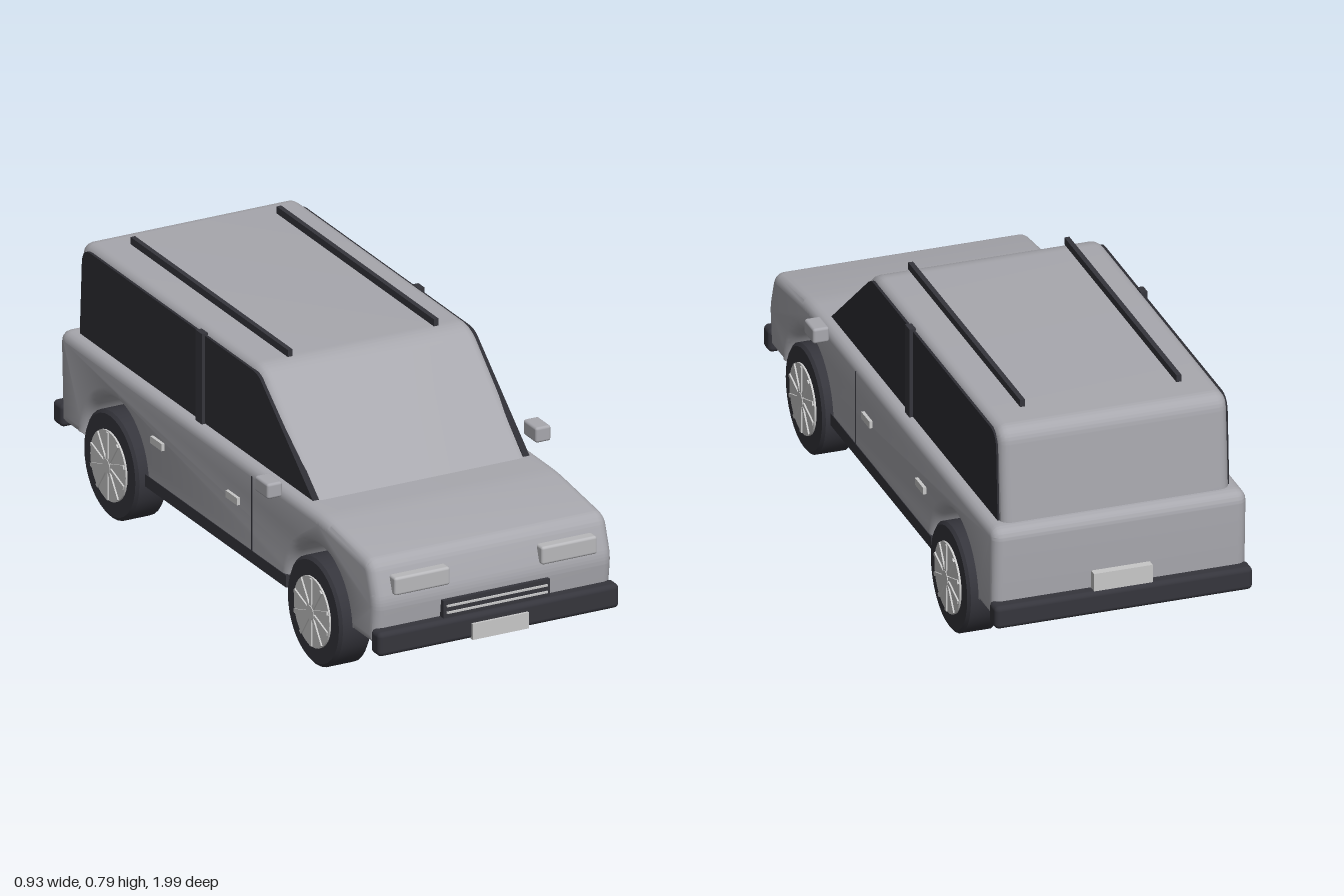
import * as THREE from 'three';
import { toCreasedNormals } from 'three/addons/utils/BufferGeometryUtils.js';
import { RoundedBoxGeometry } from 'three/addons/geometries/RoundedBoxGeometry.js';

const mat = (name, color) => {
  const m = new THREE.MeshStandardMaterial({ color });
  m.name = name;
  return m;
};

export function createModel() {
  const car = new THREE.Group();
  car.name = 'car';
  const paint = mat('grey paint', 0xa8a8ae);
  const trim = mat('dark trim', 0x35353c);
  const glass = mat('dark glass', 0x2e2e34);
  const light = mat('light metal', 0xc8c8c8);
  const lamp = mat('lamp', 0xb8b8bb);

  const add = (name, geo, material, x = 0, y = 0, z = 0, parent = car) => {
    const mesh = new THREE.Mesh(geo, material);
    mesh.name = name;
    mesh.position.set(x, y, z);
    parent.add(mesh);
    return mesh;
  };
  // box given by its low and high corners, with an optional edge radius
  const box = (name, material, [x0, x1], [y0, y1], [z0, z1], r = 0) => {
    const s = [x1 - x0, y1 - y0, z1 - z0];
    const geo = r ? new RoundedBoxGeometry(...s, 3, r) : new THREE.BoxGeometry(...s);
    return add(name, geo, material, (x0 + x1) / 2, (y0 + y1) / 2, (z0 + z1) / 2);
  };
  // side profile (z, y) extruded across the car, centred on x = 0
  const across = (shape, width, bevel) => {
    const geo = new THREE.ExtrudeGeometry(shape, {
      depth: width - 2 * bevel, bevelEnabled: bevel > 0, bevelThickness: bevel,
      bevelSize: bevel, bevelOffset: -bevel, bevelSegments: 4, curveSegments: 24,
    });
    geo.translate(0, 0, -(width - 2 * bevel) / 2);
    geo.rotateY(-Math.PI / 2);
    return toCreasedNormals(geo, 0.55);
  };
  // adds corners [z, y, radius] to a path, rounding each by a curve
  const corners = (shape, pts, from, to) => {
    pts.forEach(([z, y, r], i) => {
      const c = new THREE.Vector2(z, y);
      if (!r) return shape.lineTo(z, y);
      const prev = i ? pts[i - 1] : from;
      const next = i < pts.length - 1 ? pts[i + 1] : to;
      const a = new THREE.Vector2(prev[0], prev[1]).sub(c).setLength(r).add(c);
      const b = new THREE.Vector2(next[0], next[1]).sub(c).setLength(r).add(c);
      shape.lineTo(a.x, a.y);
      shape.quadraticCurveTo(c.x, c.y, b.x, b.y);
    });
    return shape;
  };

  // lower body with both wheel arches cut through
  const FRONT = 0.605, REAR = -0.63, ARCH = 0.187;
  const body = new THREE.Shape();
  body.moveTo(-0.96, 0.175);
  for (const z of [REAR, FRONT]) {
    body.lineTo(z - ARCH, 0.175);
    body.absarc(z, 0.175, ARCH, Math.PI, 0, true);
  }
  corners(body, [
    [0.94, 0.175, 0], [0.957, 0.31, 0.03], [0.915, 0.43, 0.035],
    [0.63, 0.463, 0.04], [-0.972, 0.467, 0.045],
  ], [0.605, 0.175], [-0.96, 0.175]);
  add('body', across(body, 0.78, 0.03), paint);

  // cabin
  const cabin = new THREE.Shape();
  cabin.moveTo(-0.935, 0.42);
  corners(cabin, [[0.56, 0.42, 0], [0.18, 0.757, 0.05], [-0.912, 0.757, 0.05]],
    [-0.935, 0.42], [-0.935, 0.42]);
  add('cabin', across(cabin, 0.7, 0.03), paint);

  // side windows, pillars, seams, handles, mirrors, rails
  const pane = new THREE.Shape();
  pane.moveTo(-0.905, 0.466);
  corners(pane, [[0.51, 0.466, 0], [0.175, 0.74, 0.03], [-0.89, 0.74, 0.05]],
    [-0.905, 0.466], [-0.905, 0.466]);
  const paneGeo = across(pane, 0.02, 0);
  for (const s of [1, -1]) {
    const side = s > 0 ? 'left' : 'right';
    const span = (a, b) => (s > 0 ? [a, b] : [-b, -a]);
    add(side + 'Windows', paneGeo, glass, s * 0.345, 0, 0);
    box(side + 'Pillar', trim, span(0.345, 0.365), [0.46, 0.747], [-0.183, -0.145]);
    box(side + 'DoorSeam', trim, span(0.386, 0.3915), [0.2, 0.437], [0.202, 0.207]);
    box(side + 'FrontHandle', light, span(0.385, 0.4), [0.321, 0.343], [0.062, 0.132]);
    box(side + 'RearHandle', light, span(0.385, 0.4), [0.321, 0.343], [-0.395, -0.325]);
    box(side + 'Mirror', paint, span(0.415, 0.465), [0.464, 0.512], [0.358, 0.438], 0.008);
    box(side + 'RoofRail', trim, span(0.232, 0.247), [0.764, 0.786], [-0.797, 0.157]);
    box(side + 'Headlamp', lamp, span(0.15, 0.332), [0.331, 0.387], [0.925, 0.965], 0.008);
  }

  // floor with sills, and a bar under the rear
  box('floorAndSills', trim, [-0.392, 0.392], [0.167, 0.205], [-0.44, 0.415]);
  box('rearUnderBar', trim, [-0.25, 0.25], [0.265, 0.305], [-0.58, -0.468]);

  // bumpers, grille and plates
  box('frontBumper', trim, [-0.395, 0.395], [0.157, 0.232], [0.93, 0.985], 0.015);
  box('rearBumper', trim, [-0.395, 0.395], [0.163, 0.235], [-1.0, -0.94], 0.015);
  box('grille', trim, [-0.175, 0.175], [0.23, 0.286], [0.93, 0.968]);
  for (const y of [0.248, 0.269]) {
    box('grilleBar', light, [-0.165, 0.165], [y - 0.003, y + 0.003], [0.96, 0.973]);
  }
  box('frontPlate', light, [-0.092, 0.092], [0.157, 0.207], [0.98, 0.993]);
  box('rearPlate', light, [-0.09, 0.09], [0.215, 0.29], [-0.99, -0.965]);

  // wheels: rounded tyre, hub disc and spokes, axis along x
  const tyre = new THREE.LatheGeometry([
    [0, -0.052], [0.155, -0.052], [0.165, -0.044],
    [0.165, 0.044], [0.155, 0.052], [0, 0.052],
  ].map(([r, h]) => new THREE.Vector2(r, h)), 32);
  const tyreGeo = toCreasedNormals(tyre.rotateZ(-Math.PI / 2), 0.4);
  const hubGeo = new THREE.CylinderGeometry(0.108, 0.108, 0.01, 32).rotateZ(Math.PI / 2);
  const spokeGeo = new THREE.BoxGeometry(0.006, 0.09, 0.012).translate(0, 0.06, 0);
  const capGeo = new THREE.CylinderGeometry(0.022, 0.022, 0.008, 16).rotateZ(Math.PI / 2);
  for (const s of [1, -1]) {
    for (const z of [FRONT, REAR]) {
      const wheel = new THREE.Group();
      wheel.name = (z > 0 ? 'front' : 'rear') + (s > 0 ? 'Left' : 'Right') + 'Wheel';
      wheel.position.set(s * 0.353, 0.165, z);
      if (s < 0) wheel.rotation.y = Math.PI;
      add('tyre', tyreGeo, trim, 0, 0, 0, wheel);
      add('hub', hubGeo, light, 0.053, 0, 0, wheel);
      add('hubCap', capGeo, light, 0.061, 0, 0, wheel);
      for (let i = 0; i < 10; i++) {
        add('spoke', spokeGeo, light, 0.06, 0, 0, wheel).rotation.x = (i * Math.PI) / 5;
      }
      car.add(wheel);
    }
  }
  return car;
}
